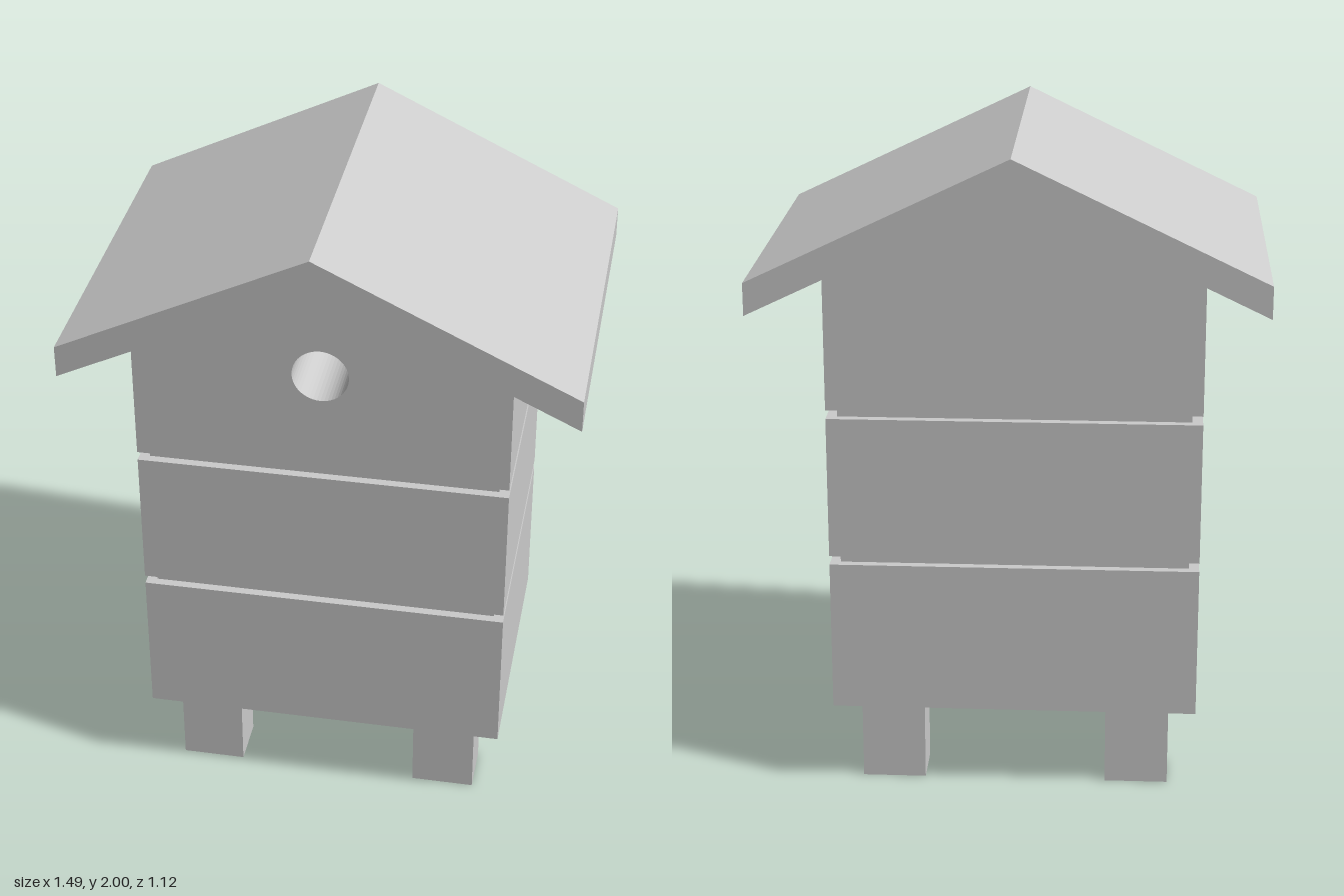
import * as THREE from 'three';

export function createModel() {
  const hive = new THREE.Group();
  hive.name = 'beehive';
  const material = new THREE.MeshStandardMaterial({ color: 0xcccccc, flatShading: true });
  const smooth = new THREE.MeshStandardMaterial({ color: 0xcccccc });
  const openMaterial = material.clone();
  openMaterial.side = THREE.DoubleSide;

  const cx = -0.012; // the ridge and boxes sit slightly off centre under the uneven roof
  const halfW = 0.553, halfD = 0.416;
  const slope = 0.479, ridge = 2, roofThickness = 0.096;

  const add = (name, geometry, mat = material) => {
    const mesh = new THREE.Mesh(geometry, mat);
    mesh.name = name;
    hive.add(mesh);
    return mesh;
  };
  const tier = (name, hw, hd, y0, y1) =>
    add(name, new THREE.BoxGeometry(hw * 2, y1 - y0, hd * 2)).position.set(cx, (y0 + y1) / 2, 0);
  const extrude = (shape, z0, z1) =>
    new THREE.ExtrudeGeometry(shape, { depth: z1 - z0, bevelEnabled: false, curveSegments: 24 }).translate(0, 0, z0);
  const polygon = (points) => new THREE.Shape(points.map(([x, y]) => new THREE.Vector2(x, y)));
  const roofY = (x) => ridge - Math.abs(x - cx) * slope;
  const underY = (x) => roofY(x) - roofThickness;

  // Stacked boxes with recessed joints
  tier('lowerBox', halfW, halfD, 0.265, 0.73);
  tier('lowerJoint', 0.522, 0.39, 0.73, 0.757);
  tier('middleBox', halfW, halfD, 0.757, 1.19);
  tier('upperJoint', 0.522, 0.39, 1.19, 1.217);

  // Gabled top box: a pierced front and a solid back make a blind entrance hole
  const gable = () => polygon([
    [cx - halfW, 1.217], [cx + halfW, 1.217], [cx + halfW, underY(cx + halfW)],
    [cx, underY(cx)], [cx - halfW, underY(cx - halfW)],
  ]);
  const front = gable();
  front.holes.push(new THREE.Path().absarc(cx, 1.545, 0.083, 0, Math.PI * 2, true));
  const holeBottom = halfD - 0.3;
  add('gableFrontWithEntrance', extrude(front, holeBottom, halfD), smooth);
  add('gableBack', extrude(gable(), -halfD, holeBottom));

  // Pitched roof with plumb-cut eaves
  const eave = 0.746;
  add('roof', extrude(polygon([
    [-eave, underY(-eave)], [cx, underY(cx)], [eave, underY(eave)],
    [eave, roofY(eave)], [cx, ridge], [-eave, roofY(-eave)],
  ]), -0.558, 0.558));

  // Four hollow square legs, open underneath
  const leg = new THREE.CylinderGeometry(Math.SQRT1_2, Math.SQRT1_2, 1, 4, 1, true)
    .rotateY(Math.PI / 4).scale(0.193, 0.265, 0.152);
  for (const sx of [-1, 1]) {
    for (const sz of [-1, 1]) {
      add(`${sz > 0 ? 'front' : 'back'}${sx > 0 ? 'Left' : 'Right'}Leg`, leg, openMaterial)
        .position.set(cx + sx * 0.375, 0.1325, sz * 0.276);
    }
  }
  return hive;
}
